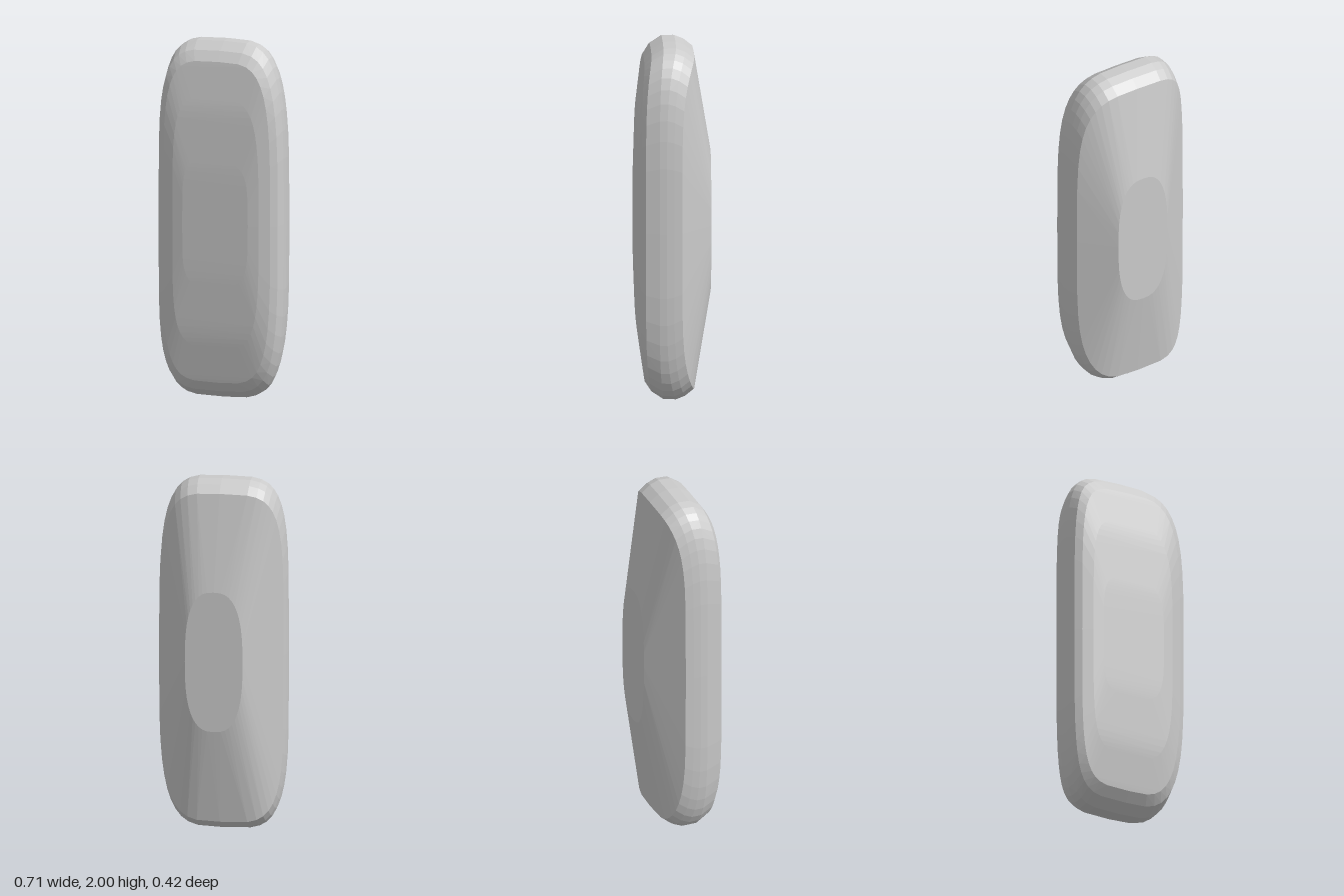
import * as THREE from 'three';
import { ConvexGeometry } from 'three/addons/geometries/ConvexGeometry.js';

const SEGMENTS = 44;

// Rounded-rectangle outline; its depth eases from zSide at the flanks to zEnd at the ends.
function ring({ cx = 0, hw, hh, zSide, zEnd, left = 3.9, right = 4.8 }) {
  const points = [];
  for (let i = 0; i < SEGMENTS; i++) {
    const a = (i / SEGMENTS) * Math.PI * 2;
    const c = Math.cos(a), s = Math.sin(a);
    const e = 2 / (c > 0 ? left : right);
    const u = Math.sign(c) * Math.abs(c) ** e;
    const v = Math.sign(s) * Math.abs(s) ** e;
    const z = THREE.MathUtils.lerp(zSide, zEnd, Math.abs(v) ** 6);
    points.push(new THREE.Vector3(cx + u * hw, 1 + v * hh, z));
  }
  return points;
}

export function createModel() {
  const group = new THREE.Group();
  group.name = 'roundedSlab';

  // Outlines from the small flat back plate to the gently domed front
  const rings = [
    { cx: 0.02, hw: 0.16, hh: 0.4, zSide: -0.21, zEnd: -0.21, left: 2.7, right: 2.7 },
    { hw: 0.345, hh: 0.94, zSide: -0.045, zEnd: -0.12 },
    { hw: 0.352, hh: 0.98, zSide: 0, zEnd: -0.07 },
    { hw: 0.356, hh: 1.0, zSide: 0.04, zEnd: -0.02 },
    { hw: 0.356, hh: 0.998, zSide: 0.08, zEnd: 0.05 },
    { hw: 0.345, hh: 0.955, zSide: 0.155, zEnd: 0.115 },
    { hw: 0.31, hh: 0.9, zSide: 0.18, zEnd: 0.153 },
    { hw: 0.25, hh: 0.7, zSide: 0.2, zEnd: 0.182 },
    { hw: 0.19, hh: 0.35, zSide: 0.208, zEnd: 0.205 },
  ];

  // Faceted convex body
  const body = new THREE.Mesh(
    new ConvexGeometry(rings.flatMap(ring)),
    new THREE.MeshStandardMaterial({ color: 0xcccccc, flatShading: true })
  );
  body.name = 'body';
  group.add(body);
  return group;
}
